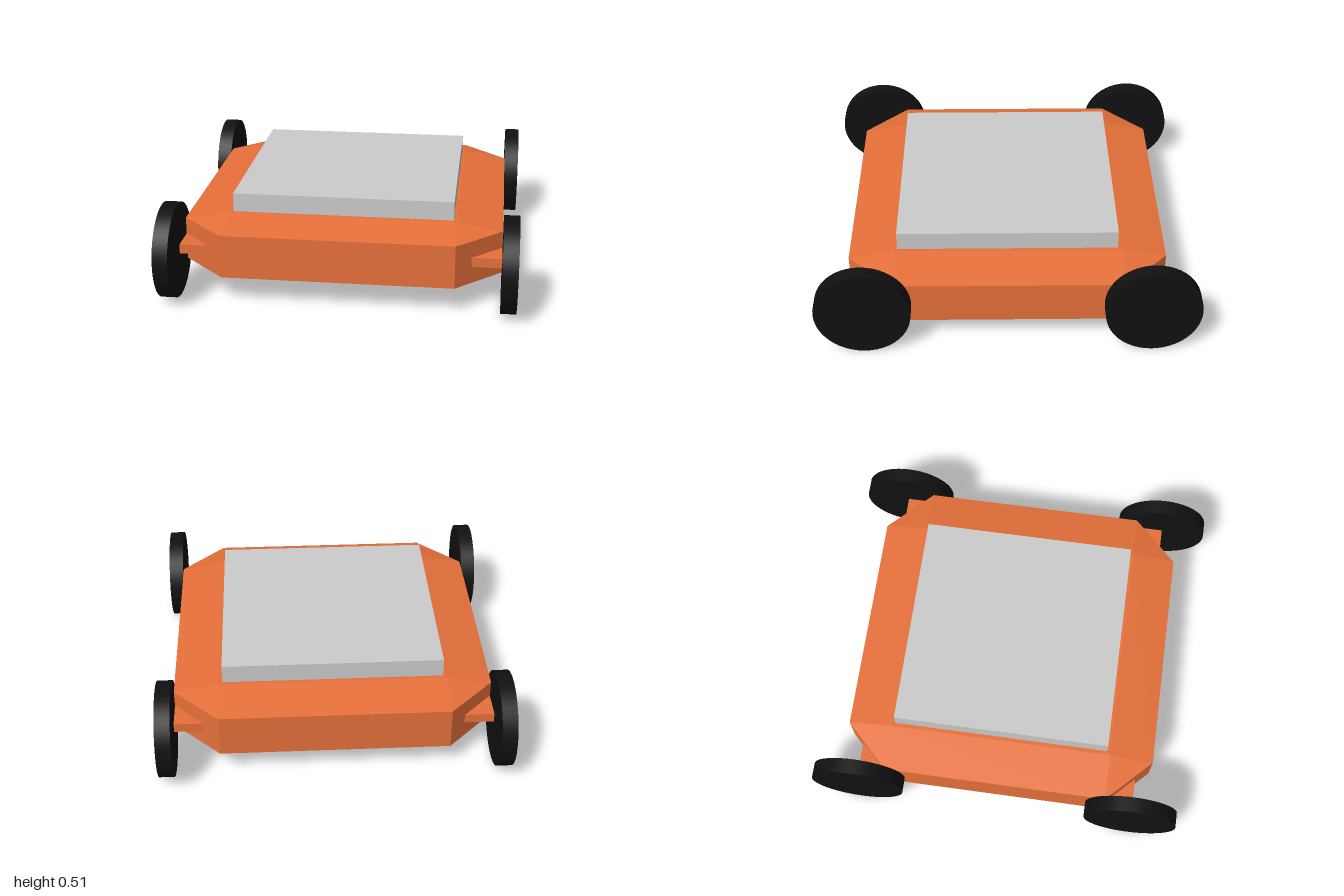
import * as THREE from 'three';
import { ConvexGeometry } from 'three/addons/geometries/ConvexGeometry.js';

export function createModel() {
  const group = new THREE.Group();
  const orange = new THREE.MeshStandardMaterial({ color: 0xe6703a, flatShading: true });
  const black = new THREE.MeshStandardMaterial({ color: 0x111111 });
  const grey = new THREE.MeshStandardMaterial({ color: 0xcccccc });

  const add = (name, geometry, material, x, y, z) => {
    const mesh = new THREE.Mesh(geometry, material);
    mesh.name = name;
    mesh.position.set(x, y, z);
    group.add(mesh);
    return mesh;
  };

  // Chassis: octagonal wall whose roof and floor rise to smaller flat squares
  const inner = 0.6, outer = 0.835;
  const points = [];
  for (const sx of [-1, 1]) {
    for (const sz of [-1, 1]) {
      for (const y of [0.095, 0.41]) points.push(new THREE.Vector3(sx * inner, y, sz * inner));
      for (const y of [0.14, 0.37]) {
        points.push(new THREE.Vector3(sx * outer, y, sz * inner));
        points.push(new THREE.Vector3(sx * inner, y, sz * outer));
      }
    }
  }
  add('chassis', new ConvexGeometry(points), orange, 0, 0, 0);

  // Flat deck plate on the roof
  add('deckPlate', new THREE.BoxGeometry(1.16, 0.1, 1.16), grey, 0, 0.46, 0);

  // Wheels, each carried by a flat arm beside the cut corner
  const wheelShape = new THREE.CylinderGeometry(0.25, 0.25, 0.08, 48).rotateZ(Math.PI / 2);
  const armShape = new THREE.BoxGeometry(0.235, 0.05, 0.155);
  for (const sx of [-1, 1]) {
    for (const sz of [-1, 1]) {
      const place = (sz > 0 ? 'front' : 'back') + (sx > 0 ? 'Left' : 'Right');
      add(place + 'Wheel', wheelShape, black, sx * 0.875, 0.25, sz * 0.75);
      add(place + 'Arm', armShape, orange, sx * 0.7175, 0.255, sz * 0.6775);
    }
  }
  return group;
}
